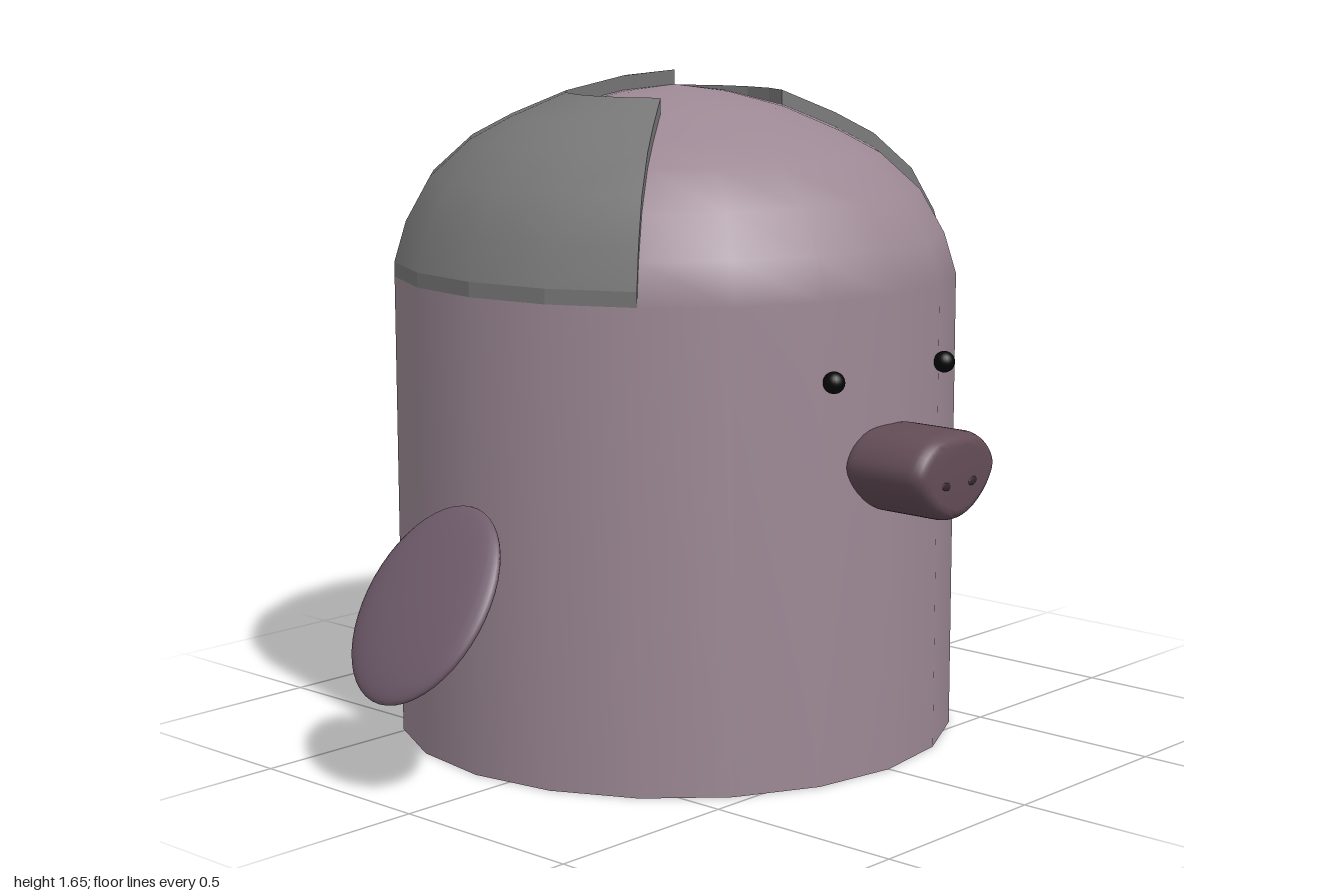
import * as THREE from 'three';
import { mergeVertices, toCreasedNormals } from 'three/addons/utils/BufferGeometryUtils.js';

const SIDES = 20;
const STEP = (Math.PI * 2) / SIDES;
const CENTRE_Z = -0.1;
const LIFT = 0.036; // thickness of the hair
// dome profile from rim to crown: radius, height
const DOME = [[0.7, 1.15], [0.67, 1.25], [0.61, 1.357], [0.51, 1.447], [0.41, 1.5],
  [0.272, 1.558], [0.13, 1.595], [0, 1.611]];
const FRINGE = 5; // profile ring where the parting opens

const paint = (color, extra = {}) => new THREE.MeshStandardMaterial({ color, ...extra });

function part(name, geometry, material, parent) {
  const mesh = new THREE.Mesh(geometry, material);
  mesh.name = name;
  parent.add(mesh);
  return mesh;
}

// point on the dome at profile ring i and side s (side 0 faces the front)
function domePoint(i, s, lift = 0) {
  const [r, y] = DOME[i];
  return [r * Math.sin(s * STEP), y + lift, r * Math.cos(s * STEP)];
}

function fromTriangles(positions) {
  const g = new THREE.BufferGeometry();
  g.setAttribute('position', new THREE.Float32BufferAttribute(positions, 3));
  return g;
}

function buildHair(parent) {
  const hair = new THREE.Group();
  hair.name = 'hair';
  parent.add(hair);

  // outer surface: open at the front, with a wedge reaching the crown at the back
  const cap = [];
  for (let s = 3; s < 17; s++) {
    const last = s >= 8 && s < 12 ? DOME.length - 1 : FRINGE;
    for (let i = 0; i < last; i++) {
      const a = domePoint(i, s, LIFT), b = domePoint(i, s + 1, LIFT);
      const c = domePoint(i + 1, s + 1, LIFT), d = domePoint(i + 1, s, LIFT);
      cap.push(...a, ...b, ...c);
      if (i + 1 < DOME.length - 1) cap.push(...a, ...c, ...d);
    }
  }
  const capGeometry = mergeVertices(fromTriangles(cap), 1e-4);
  capGeometry.computeVertexNormals();
  part('hairCap', capGeometry, paint(0x787878, { side: THREE.DoubleSide }), hair);

  // edge path all the way round: lower rim, front cuts, fringe arcs and wedge
  const path = [];
  for (let s = 3; s <= 17; s++) path.push([0, s]);
  for (let i = 1; i <= FRINGE; i++) path.push([i, 17]);
  for (let s = 16; s >= 12; s--) path.push([FRINGE, s]);
  path.push([6, 12], [7, 12], [6, 8]);
  for (let s = 8; s >= 3; s--) path.push([FRINGE, s]);
  for (let i = FRINGE - 1; i >= 0; i--) path.push([i, 3]);
  const edge = [];
  for (let k = 0; k < path.length - 1; k++) {
    const [p, q] = [path[k], path[k + 1]];
    const a = domePoint(...p), b = domePoint(...q);
    const c = domePoint(...q, LIFT), d = domePoint(...p, LIFT);
    edge.push(...a, ...b, ...c, ...a, ...c, ...d);
  }
  const edgeGeometry = fromTriangles(edge);
  edgeGeometry.computeVertexNormals();
  part('hairEdge', edgeGeometry, paint(0x787878, { side: THREE.DoubleSide, flatShading: true }), hair);
  hair.position.z = CENTRE_Z;
}

function buildNose(parent) {
  const nose = new THREE.Group();
  nose.name = 'nose';
  parent.add(nose);

  // rounded triangular snout
  const half = [[0, 0.845], [0.08, 0.836], [0.13, 0.8], [0.148, 0.755], [0.12, 0.7], [0.055, 0.65], [0, 0.638]];
  const mirrored = half.slice(1, -1).reverse().map(([x, y]) => [-x, y]);
  const points = [...half, ...mirrored].map(([x, y]) => new THREE.Vector3(x, y, 0));
  const outline = new THREE.CatmullRomCurve3(points, true).getPoints(40).slice(0, -1);
  const shape = new THREE.Shape(outline.map((p) => new THREE.Vector2(p.x, p.y)));
  const geometry = new THREE.ExtrudeGeometry(shape, {
    depth: 0.158, bevelThickness: 0.04, bevelSize: 0.028, bevelOffset: -0.028, bevelSegments: 5,
  });
  geometry.translate(0, 0, 0.6);
  part('snout', toCreasedNormals(geometry, 0.7), paint(0x634c56), nose);

  for (const side of [-1, 1]) {
    const nostril = part('nostril', new THREE.SphereGeometry(1, 14, 10), paint(0x35262d), nose);
    nostril.scale.set(0.017, 0.01, 0.004);
    nostril.position.set(side * 0.05, 0.728, 0.797);
    nostril.rotation.z = side * 0.2;
  }
}

export function createModel() {
  const model = new THREE.Group();
  model.name = 'roundTopCharacter';

  // hollow body, open underneath
  const profile = [[0.7, 0], ...DOME].map(([r, y]) => new THREE.Vector2(r, y));
  const body = part('body', new THREE.LatheGeometry(profile, SIDES),
    paint(0x9c8894, { side: THREE.DoubleSide }), model);
  body.position.z = CENTRE_Z;

  buildHair(model);
  buildNose(model);

  // flat oval arms hanging outward from the sides
  for (const side of [-1, 1]) {
    const arm = part(side > 0 ? 'leftArm' : 'rightArm', new THREE.SphereGeometry(1, 32, 24), paint(0x705c6c), model);
    arm.scale.set(0.04, 0.255, 0.2);
    arm.rotation.z = side * 0.615;
    arm.position.set(side * 0.85, 0.447, CENTRE_Z);
  }

  // eyes
  for (const [name, x] of [['rightEye', -0.2], ['leftEye', 0.214]]) {
    const eye = part(name, new THREE.SphereGeometry(0.026, 20, 14), paint(0x060606), model);
    eye.position.set(x, 0.965, 0.585);
  }
  return model;
}
